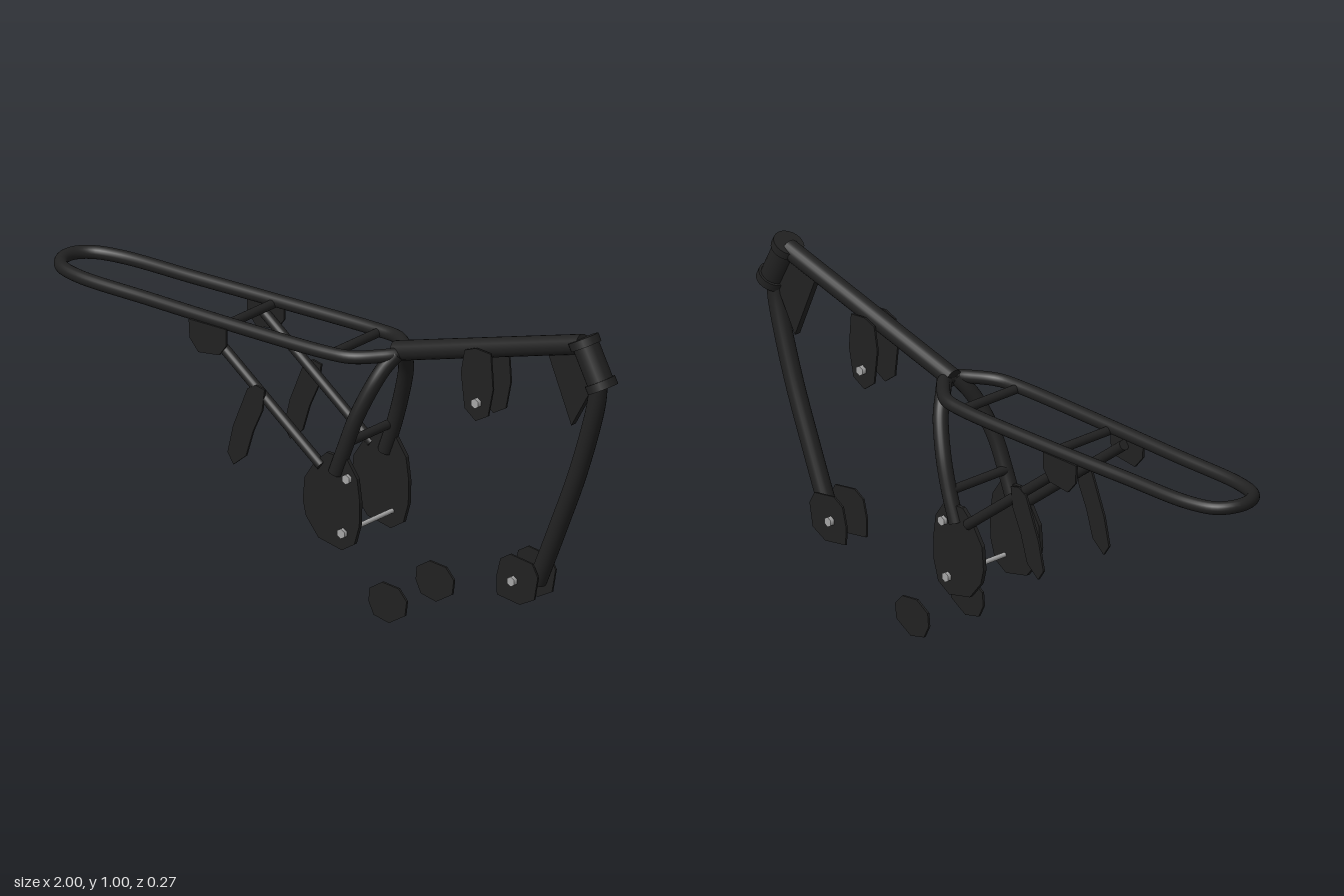
import * as THREE from 'three';

const frameBlack = new THREE.MeshStandardMaterial({ color: 0x212121 });
frameBlack.name = 'frame black';
const boltSilver = new THREE.MeshStandardMaterial({ color: 0xa6a6a6 });
boltSilver.name = 'bolt silver';

const V = (p) => new THREE.Vector3(...p);

export function createModel() {
  const model = new THREE.Group();
  model.name = 'motorcycleFrame';

  const add = (name, geometry, material = frameBlack) => {
    const mesh = new THREE.Mesh(geometry, material);
    mesh.name = name;
    model.add(mesh);
    return mesh;
  };

  // Bent tube through points, with flat caps on open ends
  const tube = (name, points, radius, closed = false) => {
    const curve = new THREE.CatmullRomCurve3(points.map(V), closed, 'centripetal');
    add(name, new THREE.TubeGeometry(curve, points.length * 10, radius, 20, closed));
    if (closed) return;
    for (const t of [0, 1]) {
      const cap = add(name + 'Cap', new THREE.CircleGeometry(radius, 20));
      const end = curve.getPoint(t);
      const out = curve.getTangent(t).multiplyScalar(t ? 1 : -1);
      cap.position.copy(end);
      cap.lookAt(end.clone().add(out));
    }
  };

  // Straight round bar between two points
  const rod = (name, a, b, radius, material = frameBlack, sides = 20) => {
    const from = V(a), to = V(b), dir = to.clone().sub(from);
    const mesh = add(name, new THREE.CylinderGeometry(radius, radius, dir.length(), sides), material);
    mesh.position.copy(from).add(to).multiplyScalar(0.5);
    mesh.quaternion.setFromUnitVectors(new THREE.Vector3(0, 1, 0), dir.normalize());
  };

  // Flat plate in the xy plane, centred on depth z
  const plate = (name, outline, z, thickness) => {
    const shape = new THREE.Shape(outline.map(([x, y]) => new THREE.Vector2(x, y)));
    const geometry = new THREE.ExtrudeGeometry(shape, { depth: thickness, bevelEnabled: false });
    geometry.translate(0, 0, z - thickness / 2);
    add(name, geometry);
  };

  const bolt = (name, x, y, z0, z1) => rod(name, [x, y, z0], [x, y, z1], 0.015, boltSilver, 6);

  // Seat loop
  const side = [[0.19, 0.772, 0.058], [0.13, 0.768, 0.102], [0.05, 0.766, 0.114],
    [-0.3, 0.765, 0.113], [-0.6, 0.766, 0.105], [-0.86, 0.768, 0.097], [-0.945, 0.77, 0.07], [-0.978, 0.773, 0.025]];
  const mirrored = side.map(([x, y, z]) => [x, y, -z]).reverse();
  tube('seatLoop', [[0.225, 0.775, 0.018], ...side, ...mirrored, [0.225, 0.775, -0.018]], 0.0195, true);

  // Crossbars
  for (const [name, x, y] of [['rearCrossbar', -0.32, 0.757], ['frontCrossbar', 0.06, 0.763], ['legCrossbar', 0.105, 0.5]]) {
    rod(name, [x, y, -0.105], [x, y, 0.105], 0.0135);
  }

  // Backbone, down tube and steering head
  rod('backbone', [0.21, 0.777, 0], [0.885, 0.962, 0], 0.029);
  tube('downTube', [[0.94, 0.86, 0], [0.932, 0.79, 0], [0.87, 0.58, 0], [0.79, 0.375, 0], [0.72, 0.205, 0]], 0.027);
  const headTop = V([0.885, 0.98, 0]), headBottom = V([0.957, 0.843, 0]);
  const along = (t) => headTop.clone().lerp(headBottom, t).toArray();
  rod('steeringHead', along(0.05), along(0.95), 0.039);
  rod('upperHeadCollar', along(0), along(0.16), 0.046);
  rod('lowerHeadCollar', along(0.84), along(1), 0.046);
  plate('headGusset', [[0.765, 0.91], [0.85, 0.71], [0.93, 0.85], [0.89, 0.95]], 0, 0.02);

  // Plates and tubes repeated on both sides
  for (const s of [1, -1]) {
    const prefix = s > 0 ? 'front' : 'back';

    tube(prefix + 'RearLeg', [[0.225, 0.775, s * 0.02], [0.205, 0.74, s * 0.046], [0.185, 0.69, s * 0.073],
      [0.145, 0.59, s * 0.1], [0.11, 0.49, s * 0.109], [0.08, 0.41, s * 0.111]], 0.0225);
    rod(prefix + 'SeatStrut', [-0.37, 0.725, s * 0.114], [0.03, 0.42, s * 0.114], 0.0155);

    plate(prefix + 'SwingarmPlate', [[0.01, 0.43], [0.05, 0.465], [0.125, 0.46], [0.16, 0.41], [0.17, 0.34],
      [0.168, 0.27], [0.15, 0.21], [0.105, 0.182], [0.02, 0.2], [-0.025, 0.255], [-0.036, 0.3], [-0.03, 0.37]],
      s * 0.11, 0.012);

    plate(prefix + 'ShockTab', [[-0.435, 0.755], [-0.3, 0.755], [-0.3, 0.705], [-0.325, 0.672], [-0.4, 0.663], [-0.432, 0.7]],
      s * 0.13, 0.007);

    plate(prefix + 'FootrestTab', [[-0.225, 0.595], [-0.195, 0.612], [-0.163, 0.605], [-0.172, 0.54], [-0.205, 0.47],
      [-0.23, 0.39], [-0.275, 0.353], [-0.297, 0.385], [-0.277, 0.47]], s * 0.127, 0.007);

    plate(prefix + 'LowerTab', [[0.2, 0.09], [0.245, 0.118], [0.305, 0.112], [0.334, 0.08], [0.328, 0.035],
      [0.27, 0], [0.215, 0.012], [0.196, 0.05]], s * 0.106, 0.007);

    plate(prefix + 'EngineHangerPlate', [[0.49, 0.86], [0.53, 0.875], [0.585, 0.87], [0.593, 0.765], [0.575, 0.68], [0.53, 0.655],
      [0.49, 0.685], [0.477, 0.79]], s * 0.04, 0.006);

    plate(prefix + 'EngineFootPlate', [[0.62, 0.262], [0.655, 0.283], [0.735, 0.272], [0.755, 0.235], [0.742, 0.165],
      [0.69, 0.138], [0.607, 0.15], [0.605, 0.205]], s * 0.04, 0.006);

    // Bolt heads
    bolt(prefix + 'HangerBolt', 0.537, 0.713, s * 0.042, s * 0.056);
    bolt(prefix + 'FootBolt', 0.667, 0.206, s * 0.042, s * 0.056);
    bolt(prefix + 'UpperPlateBolt', 0.127, 0.404, s * 0.113, s * 0.127);
    bolt(prefix + 'LowerPlateBolt', 0.11, 0.236, s * 0.113, s * 0.127);
  }

  // Pivot rod joining the swingarm plates
  rod('pivotRod', [0.11, 0.236, -0.115], [0.11, 0.236, 0.115], 0.007, boltSilver, 12);

  return model;
}
